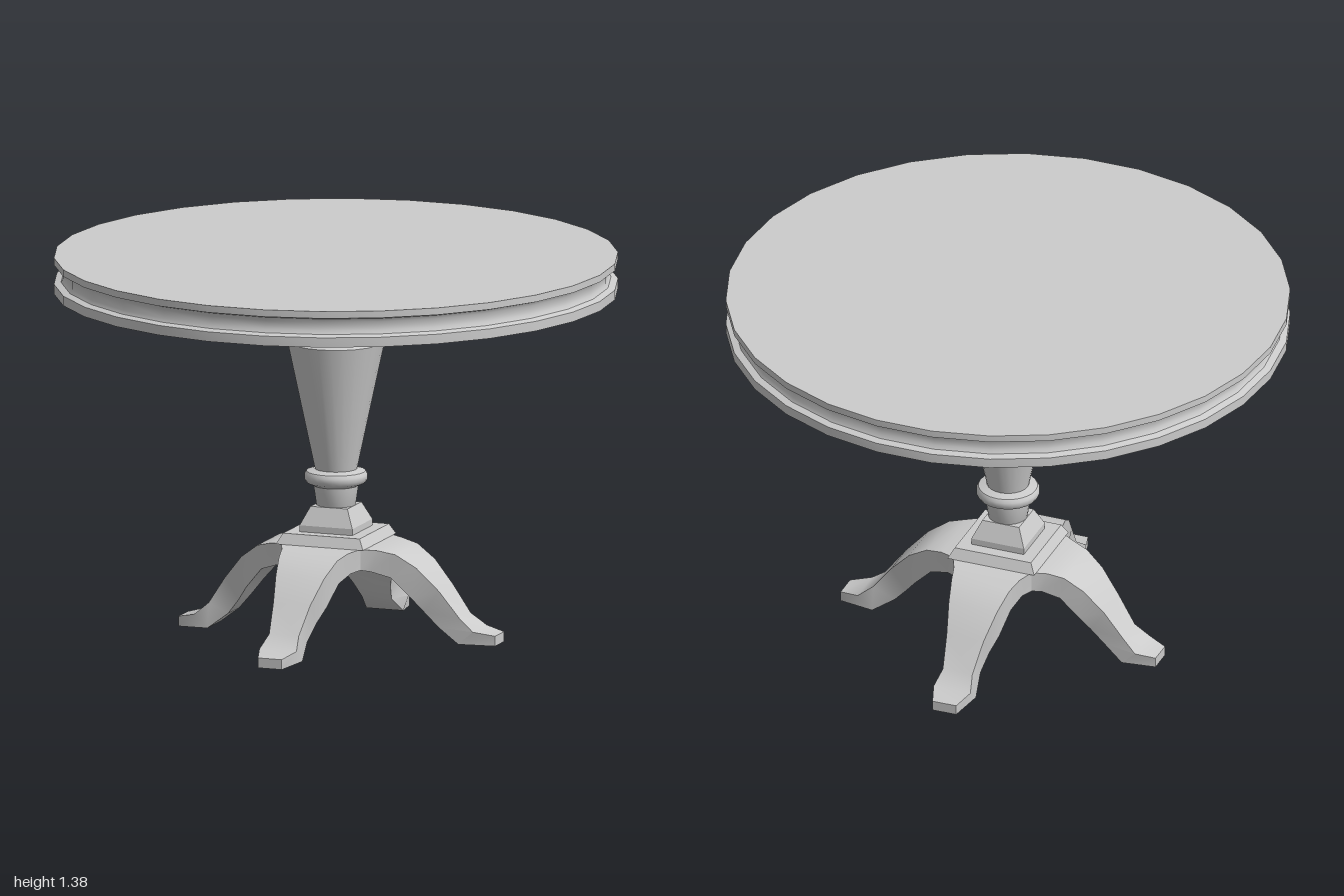
import * as THREE from 'three';
import { toCreasedNormals } from 'three/addons/utils/BufferGeometryUtils.js';

const material = new THREE.MeshStandardMaterial({ color: 0xcccccc });

// Turned (or, with four sides, square) part from a [radius, y] profile, bottom to top
function turned(name, profile, sides, start, crease) {
  const points = profile.map(([r, y]) => new THREE.Vector2(r, y));
  const geometry = toCreasedNormals(new THREE.LatheGeometry(points, sides, start), crease);
  const mesh = new THREE.Mesh(geometry, material);
  mesh.name = name;
  return mesh;
}

// Square part from a [half width, y] profile
function square(name, profile) {
  return turned(name, profile.map(([h, y]) => [h * Math.SQRT2, y]), 4, Math.PI / 4, 0.3);
}

// Leg stations: top point [x, y], bottom point [x, y], half width
const legStations = [
  [0.15, 0.355, 0.15, 0.28, 0.15],
  [0.205, 0.35, 0.18, 0.272, 0.125],
  [0.267, 0.337, 0.25, 0.252, 0.11],
  [0.34, 0.29, 0.32, 0.18, 0.092],
  [0.417, 0.208, 0.36, 0.13, 0.07],
  [0.49, 0.112, 0.41, 0.075, 0.056],
  [0.545, 0.07, 0.49, 0.022, 0.07],
  [0.62, 0.056, 0.62, 0.02, 0.045],
];

// S-curved leg along +x; reach and drop fine-tune where its foot lands
function leg(reach, drop) {
  const positions = [];
  const index = [];
  for (const [tx, ty, bx, by, h] of legStations) {
    const place = (x, y, z) => {
      const t = (x - 0.15) / 0.47;
      positions.push(x + (reach - 0.62) * t, y - drop * t, z);
    };
    place(tx, ty, h);
    place(tx, ty, -h);
    place(bx, by, -h);
    place(bx, by, h);
  }
  const last = (legStations.length - 1) * 4;
  for (let i = 0; i < last; i += 4) {
    for (let j = 0; j < 4; j++) {
      const k = (j + 1) % 4;
      index.push(i + j, i + 4 + j, i + 4 + k, i + j, i + 4 + k, i + k);
    }
  }
  index.push(last, last + 3, last + 2, last, last + 2, last + 1); // toe
  const geometry = new THREE.BufferGeometry();
  geometry.setAttribute('position', new THREE.Float32BufferAttribute(positions, 3));
  geometry.setIndex(index);
  return new THREE.Mesh(toCreasedNormals(geometry, 0.6), material);
}

export function createModel() {
  const table = new THREE.Group();
  table.name = 'pedestalTable';

  // Round top with a groove around its rim
  table.add(turned('tableTop', [
    [0, 1.25], [1, 1.25], [1, 1.285], [0.975, 1.292], [0.967, 1.305],
    [0.967, 1.335], [0.975, 1.348], [1, 1.355], [1, 1.38], [0, 1.38],
  ], 30, Math.PI / 2, 0.7));

  // Turned column with flared capital and collar
  table.add(turned('column', [
    [0.065, 0.47], [0.07, 0.48], [0.08, 0.55], [0.105, 0.562], [0.113, 0.575],
    [0.113, 0.59], [0.105, 0.602], [0.075, 0.61], [0.173, 1.07], [0.132, 1.09],
    [0.102, 1.155], [0.118, 1.19], [0.14, 1.25],
  ], 24, 0, 0.7));

  // Square plinth, slab and the block the legs grow from
  table.add(square('plinth', [[0, 0.48], [0.07, 0.48]].reverse().length
    ? [[0.1, 0.385], [0.1, 0.415], [0.07, 0.48], [0, 0.48]] : []));
  table.add(square('slab', [[0, 0.355], [0.165, 0.355], [0.145, 0.392], [0, 0.392]]));
  table.add(square('legBlock', [[0, 0.28], [0.15, 0.28], [0.15, 0.36], [0, 0.36]]));

  // Four legs: left, back, right, front
  const legs = [
    ['leftLeg', 0.62, 0], ['backLeg', 0.61, 0.02],
    ['rightLeg', 0.58, 0.015], ['frontLeg', 0.655, 0.01],
  ];
  legs.forEach(([name, reach, drop], i) => {
    const mesh = leg(reach, drop);
    mesh.name = name;
    mesh.rotation.y = i * Math.PI / 2;
    table.add(mesh);
  });

  return table;
}
